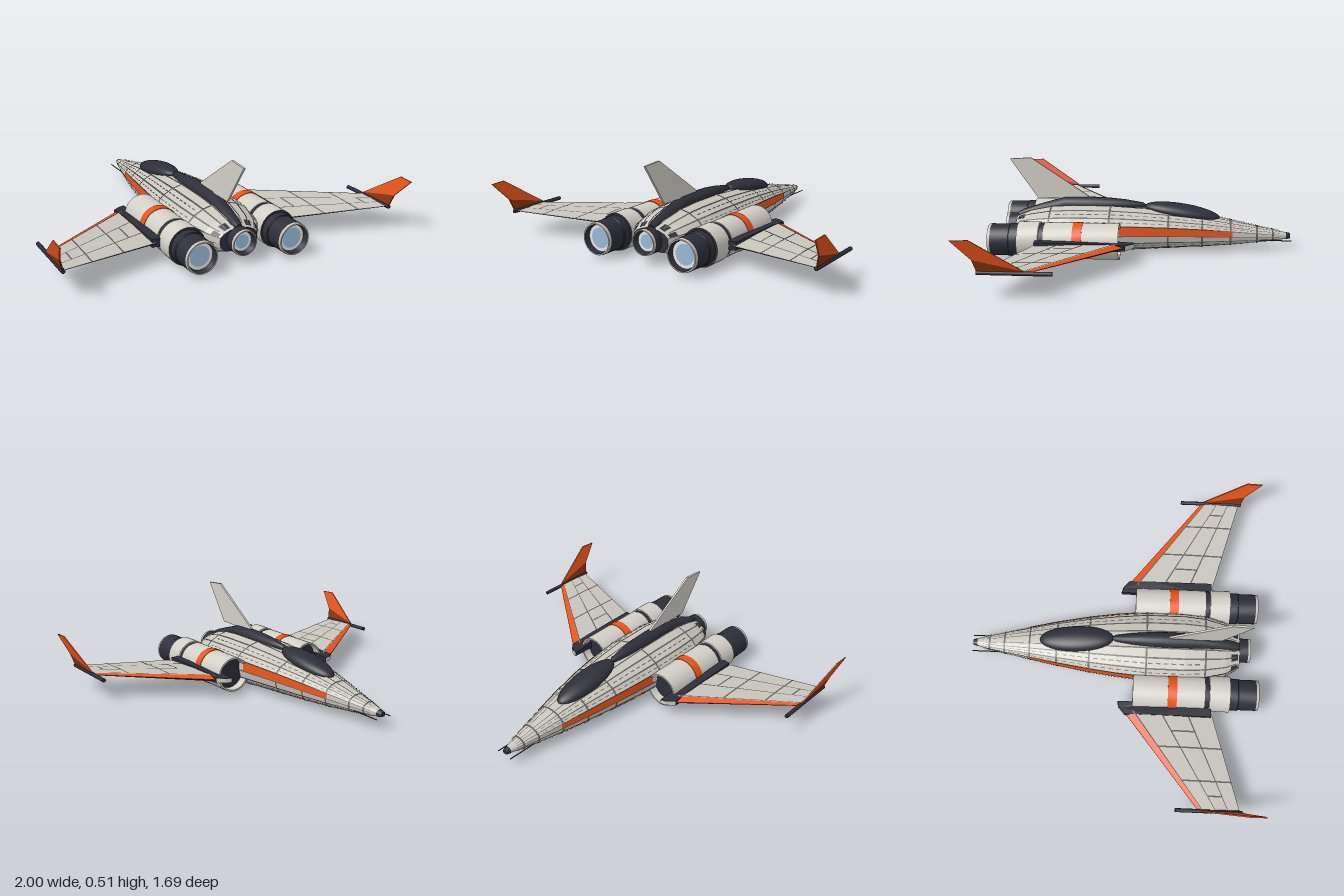
import * as THREE from 'three';
import { toCreasedNormals } from 'three/addons/utils/BufferGeometryUtils.js';

const paint = (name, color) => {
  const m = new THREE.MeshStandardMaterial({ color, side: THREE.DoubleSide });
  m.name = name;
  return m;
};

export function createModel() {
  const root = new THREE.Group();
  root.name = 'starfighter';
  const light = paint('hull grey', 0xc8c5bd);
  const pale = paint('pale grey', 0xd2cfc7);
  const line = paint('panel line grey', 0x63615c);
  const dark = paint('charcoal', 0x2d2e38);
  const orange = paint('orange', 0xe8541b);
  const rust = paint('dark orange', 0x86330d);
  const blue = paint('exhaust blue', 0x98bad6);
  const white = paint('nozzle white', 0xffffff);

  const add = (name, geo, mat, parent = root) => {
    const m = new THREE.Mesh(geo, mat);
    m.name = name;
    parent.add(m);
    return m;
  };

  // flat-shaded surface from one or more grids of points
  const surface = (grids) => {
    const pos = [];
    for (const g of grids)
      for (let i = 0; i + 1 < g.length; i++)
        for (let j = 0; j + 1 < g[i].length; j++) {
          const [a, b, c, d] = [g[i][j], g[i + 1][j], g[i + 1][j + 1], g[i][j + 1]];
          pos.push(...a, ...b, ...c, ...a, ...c, ...d);
        }
    const geo = new THREE.BufferGeometry();
    geo.setAttribute('position', new THREE.Float32BufferAttribute(pos, 3));
    geo.computeVertexNormals();
    return geo;
  };
  // breakpoints of a list clipped to a range
  const span = (list, a, b) => [a, ...list.filter((t) => t > a + 1e-5 && t < b - 1e-5), b];
  const lerp = THREE.MathUtils.lerp;

  // ---- fuselage: stations [z, half width, bottom, top], half section from top to bottom
  const stations = [
    [-0.84, 0.014, 0.076, 0.1], [-0.77, 0.034, 0.066, 0.116], [-0.65, 0.061, 0.056, 0.14],
    [-0.5, 0.094, 0.045, 0.172], [-0.35, 0.126, 0.038, 0.2], [-0.15, 0.162, 0.032, 0.227],
    [0, 0.183, 0.026, 0.242], [0.18, 0.201, 0.017, 0.254], [0.4, 0.202, 0.014, 0.254],
    [0.52, 0.19, 0.018, 0.245], [0.64, 0.158, 0.04, 0.218], [0.72, 0.11, 0.065, 0.185],
  ];
  const section = [[0, 1], [0.25, 0.99], [0.52, 0.93], [0.8, 0.81], [0.975, 0.66],
    [1, 0.43], [0.95, 0.24], [0.82, 0.09], [0.62, 0], [0, 0]];
  const hullPoint = (z, k, side, off) => {
    let i = 0;
    while (i < stations.length - 2 && z > stations[i + 1][0]) i++;
    const A = stations[i], B = stations[i + 1], t = (z - A[0]) / (B[0] - A[0]);
    const w = lerp(A[1], B[1], t), lo = lerp(A[2], B[2], t), hi = lerp(A[3], B[3], t);
    const j = Math.min(Math.floor(k), section.length - 2), f = k - j;
    const sx = lerp(section[j][0], section[j + 1][0], f);
    const sy = lerp(section[j][1], section[j + 1][1], f);
    const n = Math.hypot(sx, 2 * sy - 1) || 1;
    return [side * (w * sx + off * sx / n), lerp(lo, hi, sy) + off * (2 * sy - 1) / n, z];
  };
  const hullPatch = (z0, z1, k0, k1, side, off) =>
    span(stations.map((s) => s[0]), z0, z1).map((z) =>
      span(section.map((_, k) => k), k0, k1).map((k) => hullPoint(z, k, side, off)));
  const both = (z0, z1, k0, k1, off) => [1, -1].map((side) => hullPatch(z0, z1, k0, k1, side, off));

  add('fuselage', surface(both(-0.84, 0.72, 0, 9, 0)), light);
  const caps = [-0.84, 0.72].flatMap((z) => [1, -1].map((s) => [
    section.map((_, k) => hullPoint(z, k, s, 0)), section.map(() => [0, z < 0 ? 0.087 : 0.12, z])]));
  add('fuselageEndCaps', surface(caps), dark);
  add('noseTip', surface(both(-0.84, -0.815, 0, 9, 0.002)), dark);
  add('sideStripe', surface(both(-0.51, 0.12, 4.05, 4.95, 0.005)), orange);
  add('tailSlots', surface([...both(0.67, 0.71, 1.5, 2.5, 0.003), ...both(0.67, 0.71, 3.2, 4, 0.003)]), dark);

  // belly panels, wider between the engines
  const belly = [-0.22, -0.06, 0.11, 0.28, 0.45, 0.62].flatMap((z, i, all) =>
    i === 0 ? [] : [...both(all[i - 1] + 0.006, z - 0.006, 8.04, 9, 0.003),
      ...(z > 0.2 ? both(all[i - 1] + 0.006, z - 0.006, 7.1, 7.94, 0.003) : [])]);
  add('bellyPanels', surface(belly), dark);

  // panel seams: rings, lengthwise lines and rows of dashes
  const seams = [];
  for (const z of [-0.74, -0.65, -0.5, -0.34, -0.15, 0.18, 0.52])
    seams.push(...both(z - 0.005, z + 0.005, 0, 8, 0.004));
  for (const k of [1, 2, 3, 4, 5, 6, 7])
    seams.push(...both(-0.78, 0.7, k - 0.08, k + 0.08, 0.004));
  for (const k of [2.5, 3.5, 6.5, 7.5])
    for (let z = -0.62; z < 0.5; z += 0.045) seams.push(...both(z, z + 0.027, k - 0.05, k + 0.05, 0.004));
  add('panelSeams', surface(seams), line);

  // ---- turned parts along z, profile of [radius, z]
  const turned = (pts, sides = 32) => toCreasedNormals(
    new THREE.LatheGeometry(pts.map((p) => new THREE.Vector2(...p)), sides).rotateX(Math.PI / 2), 0.6);

  // ---- canopy and spine
  const canopy = add('canopy', new THREE.SphereGeometry(1, 32, 20), dark);
  canopy.scale.set(0.076, 0.047, 0.217);
  canopy.position.set(0, 0.216, -0.225);
  canopy.rotation.x = -0.15;
  const spineGeo = turned([[0, -0.03], [0.018, 0], [0.034, 0.1], [0.043, 0.2], [0.046, 0.3],
    [0.043, 0.45], [0.037, 0.58], [0.03, 0.68], [0.02, 0.72], [0, 0.72]], 20);
  const sp = spineGeo.attributes.position;
  for (let i = 0; i < sp.count; i++)
    sp.setY(i, sp.getY(i) + 0.25 - Math.max(0, sp.getZ(i) - 0.45) * 0.25);
  add('spine', spineGeo, dark);

  // ---- upright plates drawn in (z, y)
  const plate = (pts, thick) => new THREE.ExtrudeGeometry(
    new THREE.Shape(pts.map((p) => new THREE.Vector2(...p))), { depth: thick, bevelEnabled: false })
    .translate(0, 0, -thick / 2).rotateY(-Math.PI / 2);
  add('tailFin', plate([[0.31, 0.3], [0.64, 0.52], [0.76, 0.512], [0.605, 0.288], [0.35, 0.283]], 0.012), pale);

  // ---- exhaust nozzle: shell, rim, dark throat, white ring and glowing disc
  const nozzle = (parent, r, z0, z1, ring, glow) => {
    add('nozzleShell', turned([[r * 0.9, z0], [r, z0 + 0.01], [r, z1 - 0.015]]), dark, parent);
    add('nozzleRim', turned([[r, z1 - 0.015], [r * 0.97, z1], [r * 0.89, z1]]), light, parent);
    add('nozzleThroat', turned([[r * 0.89, z1], [ring, z1 - 0.03]]), dark, parent);
    add('nozzleRing', new THREE.RingGeometry(glow, ring, 32).translate(0, 0, z1 - 0.03), white, parent);
    add('nozzleGlow', new THREE.CircleGeometry(glow, 32).translate(0, 0, z1 - 0.03), blue, parent);
  };
  const centre = new THREE.Group();
  centre.name = 'centreEngine';
  centre.position.y = 0.122;
  root.add(centre);
  nozzle(centre, 0.07, 0.64, 0.785, 0.053, 0.038);

  // ---- wing: u along the span, v from leading to trailing edge, s = top or bottom
  const vs = [0, 0.1, 0.5, 1], bulge = [0.15, 1, 0.9, 0.15];
  const wingPoint = (u, v, s, off) => {
    let i = 0;
    while (i < 2 && v > vs[i + 1]) i++;
    const f = lerp(bulge[i], bulge[i + 1], (v - vs[i]) / (vs[i + 1] - vs[i]));
    return [0.39 + 0.553 * u, 0.113 + 0.028 * u + s * ((0.018 - 0.011 * u) * f + off),
      lerp(0.06 + 0.43 * u, 0.565 + 0.155 * u, v)];
  };
  const wingPatch = (u0, u1, v0, v1, s, off = 0) =>
    [u0, u1].map((u) => span(vs, v0, v1).map((v) => wingPoint(u, v, s, off)));

  for (const side of [1, -1]) {
    const half = new THREE.Group();
    half.name = side > 0 ? 'leftSide' : 'rightSide';
    half.scale.x = side;
    root.add(half);

    // nacelle
    const engine = new THREE.Group();
    engine.name = 'engine';
    engine.position.set(0.267, 0.11, 0);
    half.add(engine);
    add('nacelleFront', turned([[0.088, 0.17], [0.09, 0.11], [0.1, 0.11], [0.1, 0.31]]), pale, engine);
    add('intakeFace', new THREE.CircleGeometry(0.09, 32).translate(0, 0, 0.16), dark, engine);
    add('nacelleBand', turned([[0.099, 0.31], [0.103, 0.31], [0.103, 0.362], [0.099, 0.362]]), orange, engine);
    add('nacelleMiddle', turned([[0.1, 0.362], [0.1, 0.52], [0.09, 0.52]]), pale, engine);
    add('nacelleGap', turned([[0.096, 0.515], [0.096, 0.55]]), dark, engine);
    add('nacelleRear', turned([[0.09, 0.545], [0.103, 0.548], [0.103, 0.665]]), pale, engine);
    add('nacelleRearFace', turned([[0.103, 0.665], [0.08, 0.665]]), dark, engine);
    add('nozzleCollar', turned([[0.092, 0.66], [0.092, 0.71], [0.086, 0.715]]), dark, engine);
    nozzle(engine, 0.088, 0.65, 0.83, 0.072, 0.055);

    // wing skins, underside in three bands
    add('wingTop', surface([wingPatch(0, 1, 0.1, 1, 1), wingPatch(0.37, 0.66, 0.1, 1, -1)]), light, half);
    add('wingUndersideBands', surface([wingPatch(0, 0.37, 0.1, 1, -1), wingPatch(0.66, 1, 0.1, 1, -1)]), dark, half);
    add('wingLeadingEdge', surface([wingPatch(0, 1, 0, 0.1, 1), wingPatch(0, 1, 0, 0.1, -1)]), orange, half);
    const edges = [0, 1].map((v) => [1, -1].map((s) => [wingPoint(0, v, s, 0), wingPoint(1, v, s, 0)]));
    add('wingEdges', surface(edges), dark, half);
    const wingSeams = [0.11, 0.42, 0.72].map((v) => wingPatch(0, 1, v - 0.009, v + 0.009, 1, 0.002));
    for (const [u, v0, v1] of [[0.37, 0.1, 1], [0.71, 0.1, 1], [0.2, 0.42, 0.72], [0.86, 0.42, 0.72]])
      wingSeams.push(wingPatch(u - 0.008, u + 0.008, v0, v1, 1, 0.002));
    for (const v of [0.42, 0.72]) wingSeams.push(wingPatch(0.37, 0.66, v - 0.009, v + 0.009, -1, 0.002));
    add('wingSeams', surface(wingSeams), line, half);

    // root fairing between nacelle and wing, thinning to a pale front face
    const outline = [[0.337, 0.025], [0.37, 0.035], [0.412, 0.07], [0.412, 0.2], [0.412, 0.56], [0.337, 0.56], [0.337, 0.2]];
    const fairing = new THREE.ExtrudeGeometry(new THREE.Shape(outline.map((p) => new THREE.Vector2(...p))),
      { depth: 0.045, bevelEnabled: false }).rotateX(Math.PI / 2).translate(0, 0.0225, 0);
    const fp = fairing.attributes.position;
    const squeeze = (z) => lerp(0.5, 1, Math.min(1, z / 0.2));
    for (let i = 0; i < fp.count; i++) fp.setY(i, 0.113 + fp.getY(i) * squeeze(fp.getZ(i)));
    fairing.computeVertexNormals();
    add('wingRootFairing', fairing, dark, half);
    add('fairingFront', surface([[1, -1].map((s) => outline.slice(0, 3).map(([x, z]) =>
      [x + 0.001, 0.113 + s * 0.021 * squeeze(z), z - 0.003]))].map((g) => g)), pale, half);

    // wing tip rod and leaning winglet
    add('wingTipRod', new THREE.CylinderGeometry(0.011, 0.011, 0.37, 12).rotateX(Math.PI / 2)
      .translate(0.948, 0.141, 0.55), dark, half);
    const lean = (geo) => {
      const p = geo.attributes.position;
      for (let i = 0; i < p.count; i++) p.setX(i, p.getX(i) + 0.947 + (p.getY(i) - 0.14) * 0.285);
      geo.computeVertexNormals();
      return geo;
    };
    add('winglet', lean(plate([[0.505, 0.155], [0.755, 0.316], [0.845, 0.312], [0.75, 0.21]], 0.007)), orange, half);
    add('wingletBase', lean(plate([[0.505, 0.155], [0.75, 0.21], [0.73, 0.14], [0.5, 0.14]], 0.007)), rust, half);

    // nose probe
    add('noseProbe', new THREE.CylinderGeometry(0.003, 0.003, 0.24, 6).rotateX(Math.PI / 2)
      .translate(0.048, 0.07, -0.725), dark, half);
  }
  return root;
}
